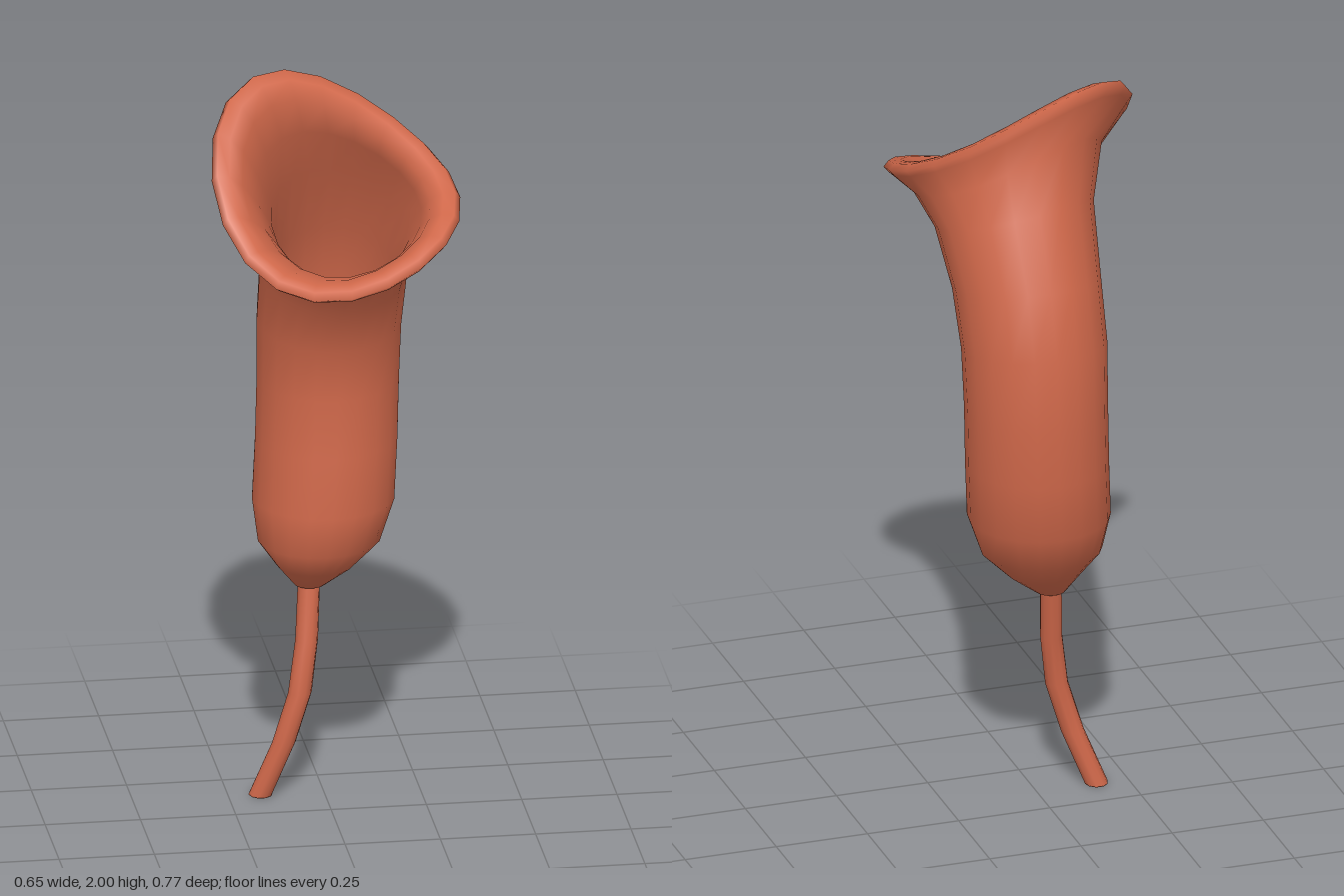
import * as THREE from 'three';

const material = new THREE.MeshStandardMaterial({ color: 0xd0684a, side: THREE.DoubleSide });

// Skin over rings [x, y, z, radiusX, radiusZ, tilt to front, tilt to side, twist of the edge]
function loft(name, rings, sides) {
  const positions = [], index = [];
  rings.forEach(([x, y, z, rx, rz, front = 0, side = 0, warp = 0], i) => {
    for (let j = 0; j < sides; j++) {
      const t = (j / sides) * Math.PI * 2;
      const c = Math.cos(t), s = Math.sin(t);
      positions.push(x + rx * c, y + front * s + side * c + warp * Math.sin(2 * t), z + rz * s);
      if (i === rings.length - 1) continue;
      const a = i * sides + j, b = i * sides + ((j + 1) % sides);
      index.push(a, a + sides, b, b, a + sides, b + sides);
    }
  });
  const geometry = new THREE.BufferGeometry();
  geometry.setAttribute('position', new THREE.Float32BufferAttribute(positions, 3));
  geometry.setIndex(index);
  geometry.computeVertexNormals();
  const mesh = new THREE.Mesh(geometry, material);
  mesh.name = name;
  return mesh;
}

export function createModel() {
  const group = new THREE.Group();
  group.name = 'pitcher';

  // Bulbous cup, bending forward into a flared mouth
  const outside = [
    [-0.035, 0.57, -0.15, 0, 0],
    [-0.035, 0.575, -0.15, 0.04, 0.04],
    [-0.02, 0.63, -0.145, 0.1, 0.09],
    [-0.01, 0.7, -0.15, 0.16, 0.15],
    [0.005, 0.81, -0.175, 0.187, 0.186],
    [0.015, 0.97, -0.19, 0.187, 0.187],
    [0.02, 1.13, -0.197, 0.187, 0.187],
    [0.022, 1.3, -0.188, 0.19, 0.188, -0.03],
    [0.025, 1.455, -0.135, 0.193, 0.197, -0.05],
    [0.03, 1.61, -0.05, 0.207, 0.203, -0.085, -0.01, 0.01],
    [0.02, 1.695, 0.03, 0.245, 0.232, -0.135, -0.03, 0.03],
  ];
  // Rolled lip, from the outer edge over to the throat
  const lip = [
    [0, 1.745, 0.088, 0.312, 0.288, -0.185, -0.04, 0.042],
    [0, 1.762, 0.088, 0.326, 0.298, -0.193, -0.04, 0.045],
    [0, 1.778, 0.09, 0.312, 0.284, -0.19, -0.04, 0.045],
    [0, 1.775, 0.094, 0.28, 0.25, -0.18, -0.037, 0.042],
    [0, 1.755, 0.095, 0.246, 0.216, -0.16, -0.033, 0.035],
  ];
  // Hollow, following the outer wall downward
  const inside = [
    [0.015, 1.7, 0.045, 0.215, 0.195, -0.125, -0.02, 0.02],
    [0.03, 1.61, -0.04, 0.18, 0.175, -0.085, -0.01, 0.01],
    [0.025, 1.455, -0.13, 0.16, 0.163, -0.05],
    [0.022, 1.3, -0.188, 0.155, 0.155, -0.03],
    [0.02, 1.13, -0.197, 0.15, 0.15],
    [0.005, 0.83, -0.175, 0.15, 0.15],
    [-0.01, 0.73, -0.155, 0.11, 0.11],
    [-0.02, 0.68, -0.15, 0, 0],
  ];
  group.add(loft('cup', [...outside, ...lip, ...inside], 20));

  // Curved stem with a flat cut end
  const stem = [
    [-0.165, 0, -0.137, 0, 0],
    [-0.165, 0, -0.137, 0.031, 0.034],
    [-0.165, 0.002, -0.137, 0.031, 0.034],
    [-0.107, 0.15, -0.116, 0.031, 0.031],
    [-0.066, 0.29, -0.108, 0.031, 0.031],
    [-0.046, 0.43, -0.125, 0.03, 0.03],
    [-0.035, 0.6, -0.155, 0.029, 0.029],
  ];
  group.add(loft('stem', stem, 10));
  return group;
}
